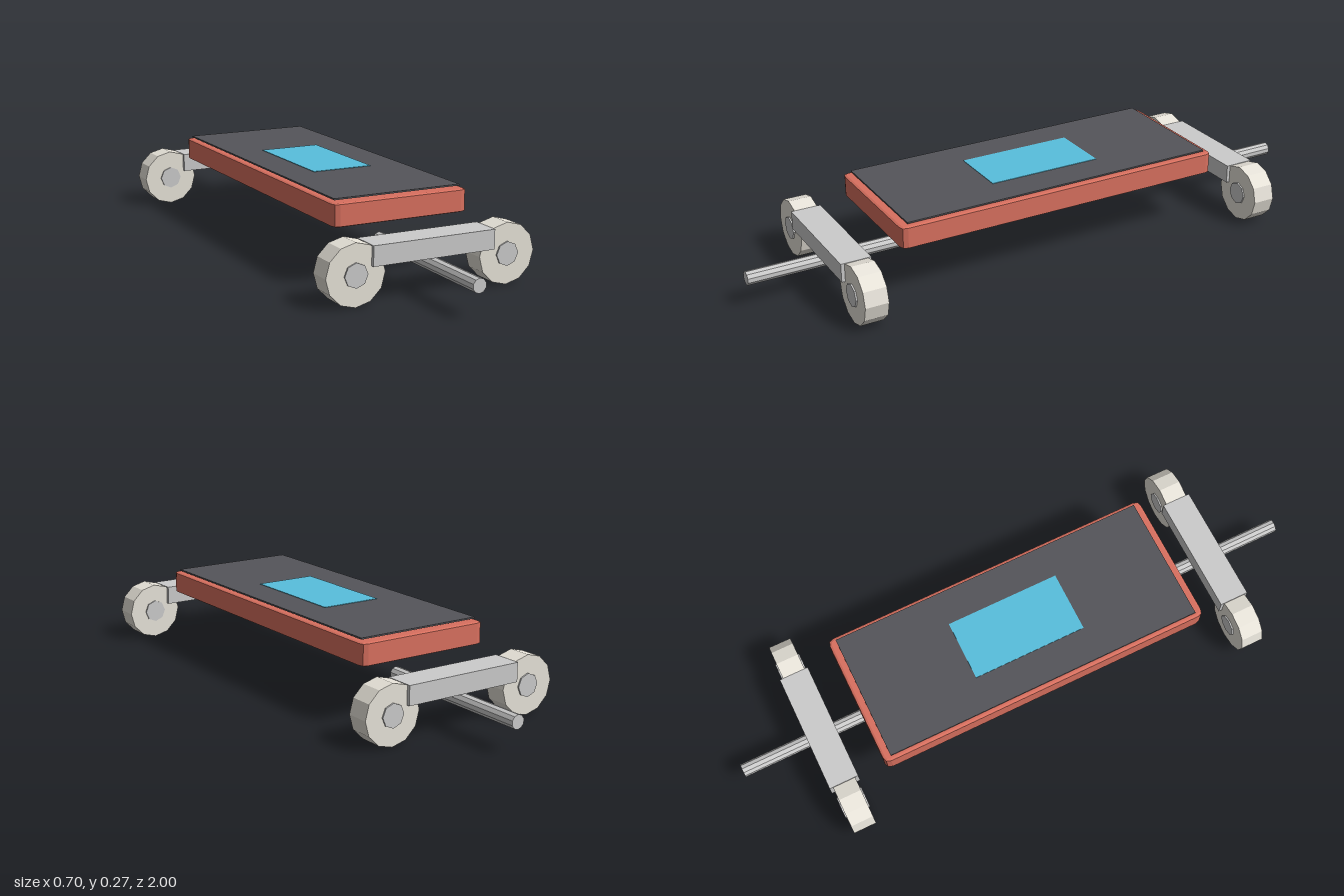
import * as THREE from 'three';

const paint = (color) => new THREE.MeshStandardMaterial({ color, flatShading: true });
const metal = paint(0xcccccc);
const rubber = paint(0xe8e4da);
const red = paint(0xd9705f);
const dark = paint(0x55555a);
const blue = paint(0x58bfdd);

function add(parent, name, geometry, material, x, y, z) {
  const mesh = new THREE.Mesh(geometry, material);
  mesh.name = name;
  mesh.position.set(x, y, z);
  parent.add(mesh);
  return mesh;
}

// Cylinder lying along z
const rod = (radius, length, sides) =>
  new THREE.CylinderGeometry(radius, radius, length, sides).rotateX(Math.PI / 2);

// Flat slab with rounded corners and a slim bevel on its top and bottom rims
function deckGeometry(width, height, length, corner, bevel, rim) {
  const w = width / 2 - bevel, l = length / 2 - bevel, r = corner - bevel;
  const shape = new THREE.Shape();
  shape.moveTo(-w + r, -l);
  shape.lineTo(w - r, -l);
  shape.quadraticCurveTo(w, -l, w, -l + r);
  shape.lineTo(w, l - r);
  shape.quadraticCurveTo(w, l, w - r, l);
  shape.lineTo(-w + r, l);
  shape.quadraticCurveTo(-w, l, -w, l - r);
  shape.lineTo(-w, -l + r);
  shape.quadraticCurveTo(-w, -l, -w + r, -l);
  return new THREE.ExtrudeGeometry(shape, {
    depth: height - 2 * rim, curveSegments: 2,
    bevelEnabled: true, bevelSize: bevel, bevelThickness: rim, bevelSegments: 1,
  }).translate(0, 0, rim).rotateX(-Math.PI / 2);
}

export function createModel() {
  const model = new THREE.Group();
  model.name = 'skateboard';

  // Deck with grip sheet and coloured panel
  add(model, 'deck', deckGeometry(0.46, 0.073, 1.15, 0.022, 0.007, 0.003), red, 0, 0.188, 0);
  add(model, 'gripSheet', new THREE.BoxGeometry(0.434, 0.005, 1.1), dark, 0, 0.269, 0);
  add(model, 'panel', new THREE.BoxGeometry(0.206, 0.003, 0.39), blue, 0, 0.2717, 0);

  // Front and rear trucks: crossbeam, lengthwise rod, two wheels with hubs
  for (const end of [1, -1]) {
    const truck = new THREE.Group();
    truck.name = end > 0 ? 'frontTruck' : 'rearTruck';
    truck.position.z = end * 0.718;
    model.add(truck);
    add(truck, 'crossbeam', new THREE.BoxGeometry(0.41, 0.062, 0.1), metal, 0, 0.149, 0);
    add(truck, 'rod', rod(0.0225, 0.564, 10), metal, 0, 0.097, 0);
    for (const side of [1, -1]) {
      const label = side > 0 ? 'left' : 'right';
      add(truck, label + 'Wheel', rod(0.096, 0.077, 12), rubber, side * 0.256, 0.097, 0);
      add(truck, label + 'Hub', rod(0.038, 0.087, 8), metal, side * 0.256, 0.097, 0);
    }
  }
  return model;
}
